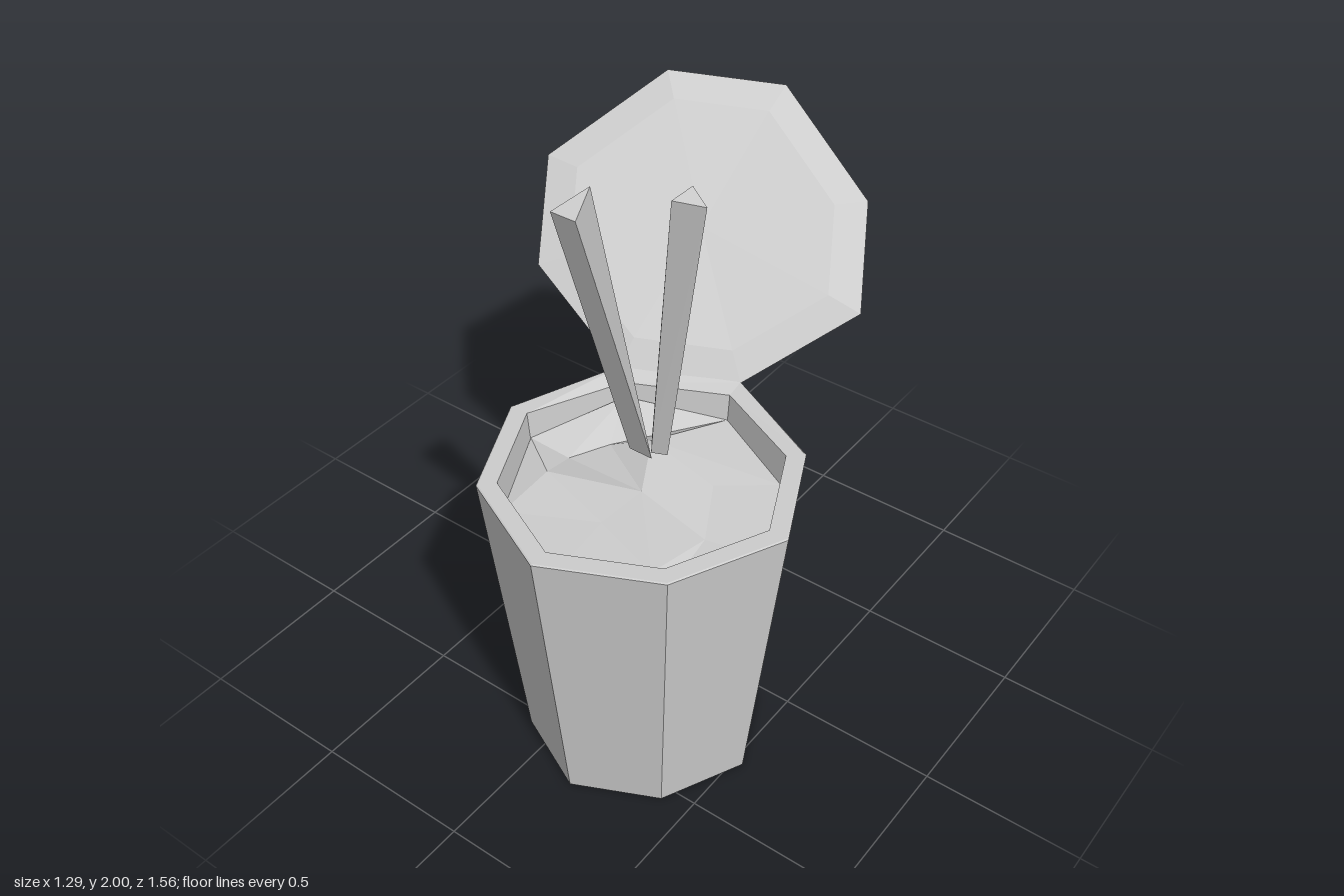
import * as THREE from 'three';

const SIDES = 8, CX = 0.16, CZ = 0.293;

// Octagon around the cup axis; the diagonal corners sit slightly further in
function octagon(radius, y, raise = {}) {
  return Array.from({ length: SIDES }, (_, k) => {
    const a = (k * Math.PI) / 4, r = k % 2 ? radius * 0.96 : radius;
    return [CX + r * Math.sin(a), y + (raise[k] || 0), CZ + r * Math.cos(a)];
  });
}

const centroid = (ring) =>
  [0, 1, 2].map((i) => ring.reduce((s, p) => s + p[i], 0) / ring.length);

// Faceted skin through rings (counter-clockwise from above), with optional caps
function loft(rings, bottomCap = true, topCap = true, topCentre = null) {
  const out = [];
  const n = rings[0].length;
  for (let k = 0; k < n; k++) {
    const j = (k + 1) % n;
    for (let r = 0; r + 1 < rings.length; r++) {
      const a = rings[r], b = rings[r + 1];
      out.push(...a[k], ...a[j], ...b[j], ...a[k], ...b[j], ...b[k]);
    }
    const first = rings[0], last = rings[rings.length - 1];
    if (bottomCap) out.push(...centroid(first), ...first[j], ...first[k]);
    if (topCap) out.push(...(topCentre || centroid(last)), ...last[k], ...last[j]);
  }
  const geometry = new THREE.BufferGeometry();
  geometry.setAttribute('position', new THREE.Float32BufferAttribute(out, 3));
  geometry.computeVertexNormals();
  return geometry;
}

export function createModel() {
  const group = new THREE.Group();
  const material = new THREE.MeshStandardMaterial({ color: 0xcccccc });
  material.name = 'light grey';
  material.flatShading = true;

  function add(name, geometry) {
    const mesh = new THREE.Mesh(geometry, material);
    mesh.name = name;
    group.add(mesh);
  }

  // Tapered cup with a rim that lifts towards the hinge
  add('cup', loft([
    octagon(0.37, 0),
    octagon(0.483, 0.973),
    octagon(0.478, 0.976, { 4: 0.014, 5: 0.024 }),
    octagon(0.422, 0.976),
    octagon(0.405, 0.8),
  ], true, false));

  // Uneven filling, highest by the back left wall
  const fillingEdge = octagon(0.412, 0.87, { 5: 0.06, 4: 0.02, 6: 0.02 });
  const fillingBumps = [
    [0.15, 0.90, 0.47], [0.38, 0.90, 0.545], [0.40, 0.87, 0.33], [0.30, 0.89, 0.15],
    [0.06, 0.92, 0.12], [-0.07, 0.86, 0.15], [-0.12, 0.87, 0.28], [-0.10, 0.91, 0.40],
  ];
  add('filling', loft([fillingEdge, fillingBumps], false, true, [0.16, 0.9, 0.3]));

  // Opened lid, joined to the rim along its first edge
  const lidEdge = [
    [-0.17, 1.0, -0.02], [0.16, 0.987, -0.185], [0.385, 1.17, -0.47], [0.26, 1.405, -0.685],
    [-0.105, 1.637, -0.78], [-0.437, 1.65, -0.627], [-0.645, 1.435, -0.293], [-0.52, 1.195, -0.08],
  ];
  const centre = centroid(lidEdge);
  const lift = [0.007, 0.016, 0.014];
  const lidPanel = lidEdge.map((p) =>
    p.map((v, i) => centre[i] + (v - centre[i]) * 0.8 + lift[i]));
  add('lid', loft([lidEdge, lidPanel]));

  // Two three-sided sticks, narrower at the lower end
  add('frontStick', loft([
    [[0.155, 1.083, 0.345], [0.23, 1.083, 0.345], [0.19, 1.075, 0.305]],
    [[0.155, 1.97, 0.63], [0.23, 1.97, 0.63], [0.19, 2.0, 0.525]],
  ]));
  add('sideStick', loft([
    [[0.17, 1.07, 0.265], [0.2, 1.065, 0.308], [0.235, 1.055, 0.28]],
    [[0.365, 1.985, 0.36], [0.365, 1.985, 0.445], [0.435, 1.97, 0.4]],
  ]));

  return group;
}
